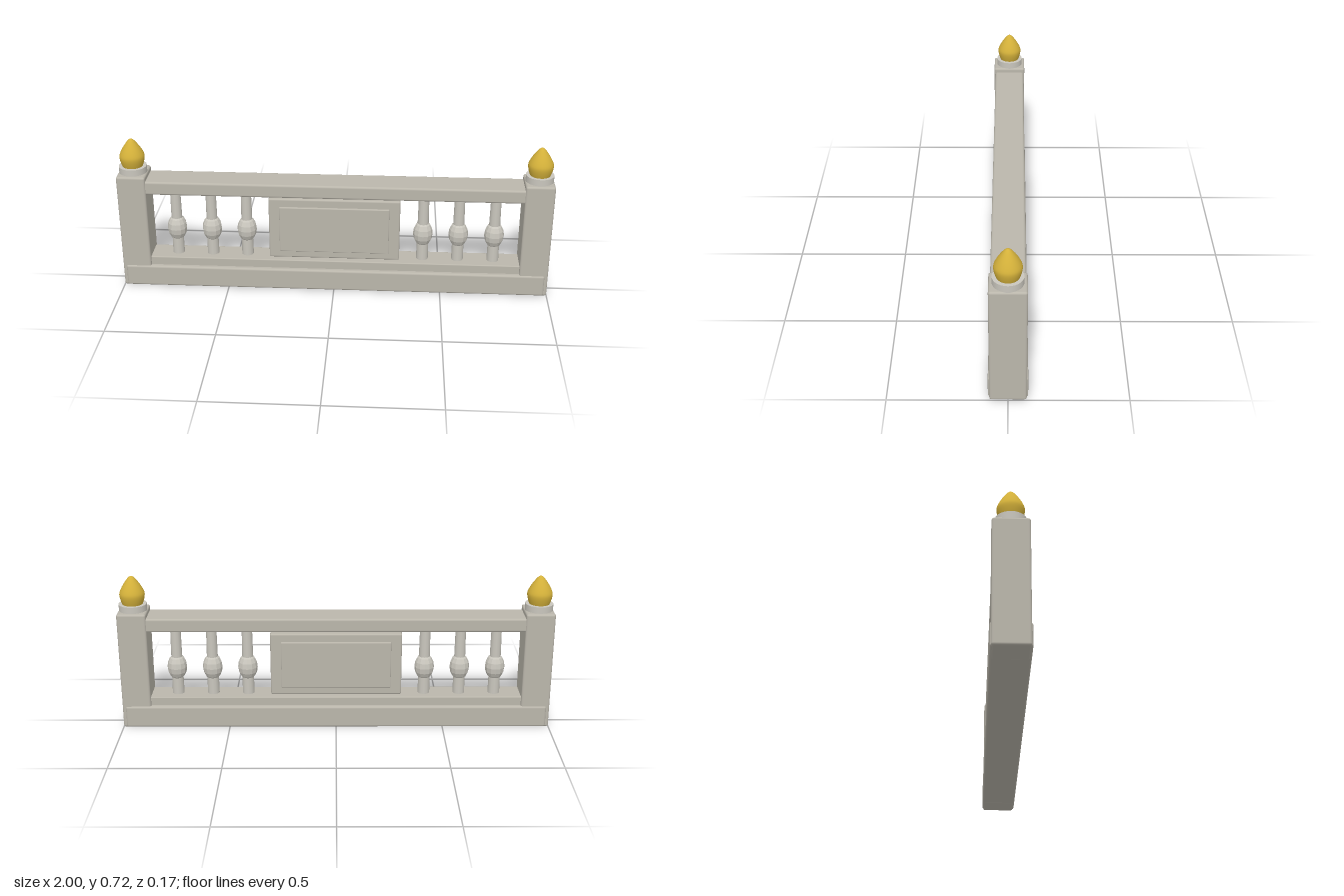
import * as THREE from 'three';
import { RoundedBoxGeometry } from 'three/addons/geometries/RoundedBoxGeometry.js';

export function createModel() {
  const model = new THREE.Group();
  model.name = 'balustrade';

  const material = (name, color) => {
    const m = new THREE.MeshStandardMaterial({ color });
    m.name = name;
    return m;
  };
  const stone = material('stone', 0xbab6ab);
  const paleStone = material('paleStone', 0xc9c6bd);
  const gold = material('gold', 0xd4b13a);

  const add = (parent, name, geometry, mat, x = 0, y = 0, z = 0) => {
    const mesh = new THREE.Mesh(geometry, mat);
    mesh.name = name;
    mesh.position.set(x, y, z);
    parent.add(mesh);
    return mesh;
  };
  // Block with softened edges, placed by its bottom and top heights
  const block = (name, width, bottom, top, depth, bevel, x = 0) =>
    add(model, name, new RoundedBoxGeometry(width, top - bottom, depth, 2, bevel),
      stone, x, (bottom + top) / 2);

  // Plinth and rails
  block('base', 1.97, 0.002, 0.106, 0.166, 0.01);
  block('lowerRail', 1.76, 0.09, 0.147, 0.125, 0.005);
  block('topRail', 1.76, 0.472, 0.537, 0.143, 0.01);

  // Central panel with a raised field on both faces
  block('panel', 0.61, 0.15, 0.453, 0.08, 0.008);
  block('raisedField', 0.51, 0.187, 0.414, 0.1, 0.004);

  // End posts with collar and pointed finial
  const finialProfile = new THREE.SplineCurve([
    [0.047, 0], [0.053, 0.018], [0.0575, 0.04], [0.055, 0.058],
    [0.041, 0.086], [0.022, 0.114], [0.01, 0.127], [0, 0.132],
  ].map(([r, y]) => new THREE.Vector2(r, y))).getPoints(20);
  finialProfile.forEach((p) => { p.x = Math.max(p.x, 0); });
  const finialGeometry = new THREE.LatheGeometry(finialProfile, 28);
  const collarGeometry = new THREE.CylinderGeometry(0.064, 0.064, 0.032, 28);
  for (const side of [-1, 1]) {
    const label = side > 0 ? 'left' : 'right';
    block(label + 'Post', 0.134, 0, 0.56, 0.155, 0.01, side * 0.933);
    add(model, label + 'Collar', collarGeometry, paleStone, side * 0.933, 0.574);
    add(model, label + 'Finial', finialGeometry, gold, side * 0.933, 0.59);
  }

  // Turned balusters: tapered shaft with a faceted bulb
  const shaftGeometry = new THREE.CylinderGeometry(0.024, 0.028, 0.34, 12);
  const bulbGeometry = new THREE.SphereGeometry(0.046, 12, 8).scale(1, 1.4, 1).toNonIndexed();
  bulbGeometry.computeVertexNormals();
  for (const side of [-1, 1]) {
    for (const x of [0.413, 0.578, 0.744]) {
      const baluster = new THREE.Group();
      baluster.name = 'baluster';
      baluster.position.x = side * x;
      add(baluster, 'shaft', shaftGeometry, paleStone, 0, 0.31);
      add(baluster, 'bulb', bulbGeometry, paleStone, 0, 0.278);
      model.add(baluster);
    }
  }
  return model;
}
